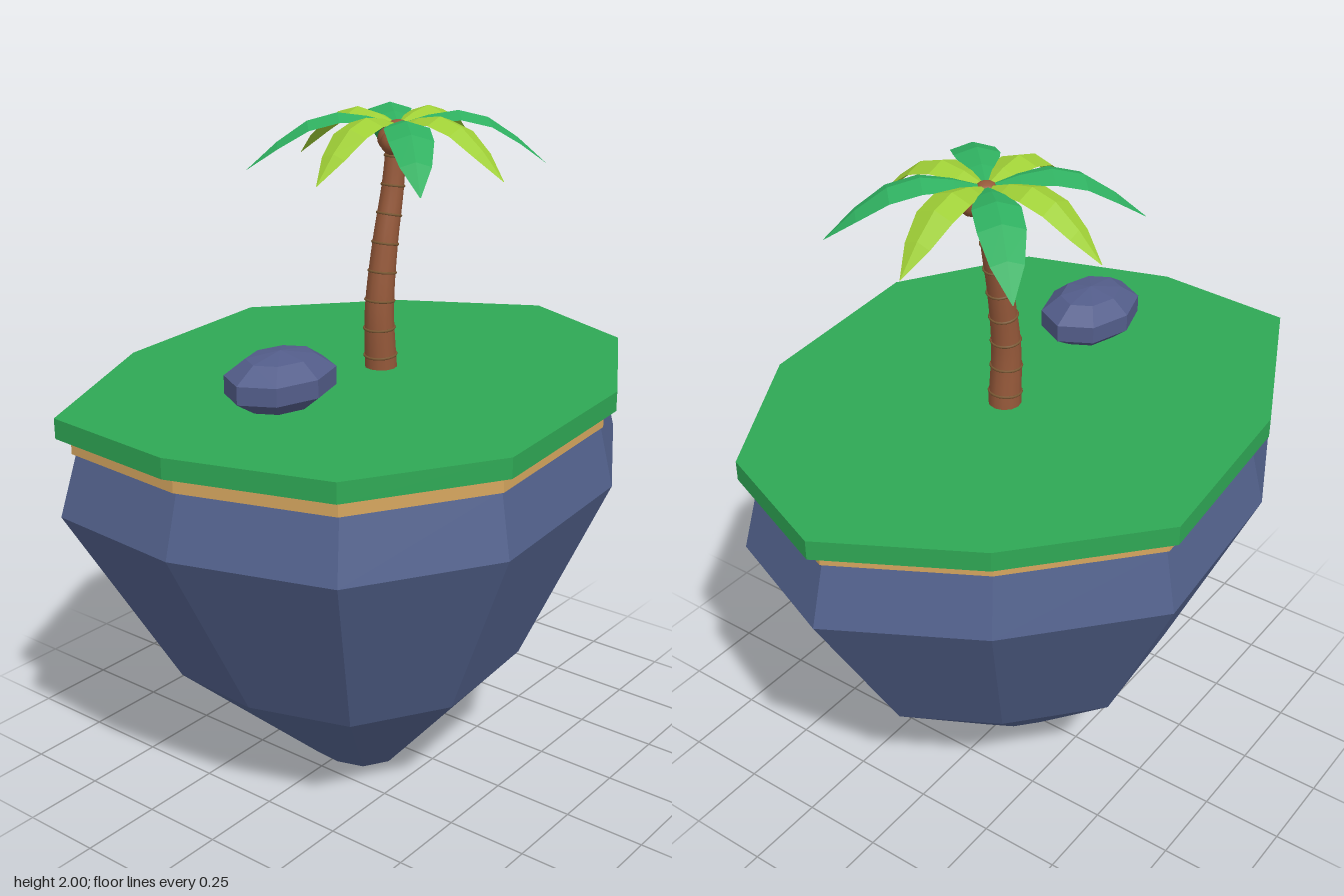
import * as THREE from 'three';

const paint = (name, color, extra = {}) => {
  const m = new THREE.MeshStandardMaterial({ color, ...extra });
  m.name = name;
  return m;
};

// Island outline as [x, z], clockwise from above
const OUTLINE = [
  [-0.87, -0.42], [-0.32, -0.68], [0.28, -0.735], [0.66, -0.4], [0.9, 0.02],
  [0.74, 0.42], [0.28, 0.68], [-0.34, 0.73], [-0.75, 0.48], [-0.9, 0.02],
];

// Flat-faced geometry from a list of triangles
function faceted(tris) {
  const g = new THREE.BufferGeometry();
  g.setAttribute('position', new THREE.Float32BufferAttribute(tris.flat(2), 3));
  g.computeVertexNormals();
  return g;
}

// Closed solid through scaled copies of the outline; level = [y, scale, dx, dz]
function layered(levels) {
  const n = OUTLINE.length;
  const rings = levels.map(([y, s, dx = 0, dz = 0]) =>
    OUTLINE.map(([x, z]) => [x * s + dx, y, z * s + dz]));
  const centre = ([y, , dx = 0, dz = 0]) => [dx, y, dz];
  const top = levels.length - 1;
  const tris = [];
  for (let i = 0; i < n; i++) {
    const j = (i + 1) % n;
    for (let k = 0; k < top; k++) {
      const a = rings[k], b = rings[k + 1];
      tris.push([a[i], b[i], a[j]], [a[j], b[i], b[j]]);
    }
    tris.push([centre(levels[0]), rings[0][i], rings[0][j]]);
    tris.push([centre(levels[top]), rings[top][j], rings[top][i]]);
  }
  return faceted(tris);
}

// Arched leaf along +x with a raised midrib
function leafGeometry(length, width) {
  // [fraction of length, rib height, half-width fraction]
  const sections = [
    [0, 0, 0.12], [0.2, 0.025, 0.7], [0.4, 0.037, 1],
    [0.6, 0.015, 0.98], [0.8, -0.044, 0.68], [1, -0.122, 0.02],
  ].map(([t, y, w]) => {
    const x = t * length, h = w * width / 2, edge = y - 0.02 * w;
    return [[x, edge, -h], [x, y, 0], [x, edge, h]];
  });
  const tris = [];
  for (let i = 0; i < sections.length - 1; i++) {
    const a = sections[i], b = sections[i + 1];
    for (let k = 0; k < 2; k++) {
      tris.push([a[k], a[k + 1], b[k + 1]], [a[k], b[k + 1], b[k]]);
    }
  }
  return faceted(tris);
}

export function createModel() {
  const model = new THREE.Group();
  model.name = 'floatingIsland';
  const stone = paint('stone', 0x53628d, { flatShading: true });
  const boulderStone = paint('boulderStone', 0x535d8a, { flatShading: true });
  const sand = paint('sand', 0xd6a65f, { flatShading: true });
  const grass = paint('grass', 0x2fa855, { flatShading: true });
  const bark = paint('bark', 0x96593a);
  const ringBark = paint('ringBark', 0x7a5732);
  const nut = paint('nut', 0x8f5535);
  const lime = paint('limeLeaf', 0x9fcf36, { flatShading: true, side: THREE.DoubleSide });
  const green = paint('greenLeaf', 0x2fb060, { flatShading: true, side: THREE.DoubleSide });

  const add = (name, geometry, material, parent = model) => {
    const mesh = new THREE.Mesh(geometry, material);
    mesh.name = name;
    parent.add(mesh);
    return mesh;
  };

  // Island layers
  add('rockBase', layered([
    [0, 0.18, -0.037, 0.018], [0.38, 0.65, -0.015, 0.008], [0.955, 1], [1.14, 0.942],
  ]), stone);
  add('sandLayer', layered([[1.14, 0.953, -0.006, 0.003], [1.19, 0.953, -0.006, 0.003]]), sand);
  add('grassLayer', layered([[1.19, 1], [1.25, 1]]), grass);

  // Boulder
  const boulder = add('boulder', new THREE.SphereGeometry(1, 8, 5), boulderStone);
  boulder.scale.set(0.189, 0.085, 0.142);
  boulder.position.set(-0.425, 1.335, 0.017);

  // Curved tapering trunk
  const palm = new THREE.Group();
  palm.name = 'palm';
  model.add(palm);
  const path = new THREE.CatmullRomCurve3([
    [0.05, 1.245], [0.042, 1.43], [0.068, 1.62], [0.105, 1.79], [0.125, 1.96],
  ].map(([x, y]) => new THREE.Vector3(x, y, 0)));
  const radiusAt = (u) => 0.049 - 0.021 * u;
  const steps = 24, sides = 12;
  const trunk = new THREE.TubeGeometry(path, steps, 1, sides);
  const pos = trunk.attributes.position, v = new THREE.Vector3();
  for (let i = 0; i < pos.count; i++) {
    const u = Math.floor(i / (sides + 1)) / steps;
    const c = path.getPointAt(u);
    v.fromBufferAttribute(pos, i).sub(c).multiplyScalar(radiusAt(u)).add(c);
    pos.setXYZ(i, v.x, v.y, v.z);
  }
  add('trunk', trunk, bark, palm);

  // Thin rings around the trunk
  for (let i = 0; i < 8; i++) {
    const u = 0.06 + i * 0.117;
    const ring = add('trunkRing', new THREE.TorusGeometry(radiusAt(u), 0.004, 6, 20), ringBark, palm);
    ring.position.copy(path.getPointAt(u));
    ring.quaternion.setFromUnitVectors(new THREE.Vector3(0, 0, 1), path.getTangentAt(u));
  }

  // Crown: bud, three nuts and eight leaves
  const crown = new THREE.Group();
  crown.name = 'crown';
  crown.position.set(0.128, 1.962, 0);
  palm.add(crown);
  add('bud', new THREE.SphereGeometry(0.027, 12, 8), bark, crown).scale.y = 0.5;
  for (let i = 0; i < 3; i++) {
    const a = Math.PI / 4 + i * Math.PI * 2 / 3;
    add('nut', new THREE.SphereGeometry(0.036, 14, 10), nut, crown)
      .position.set(0.04 * Math.cos(a), -0.047, 0.04 * Math.sin(a));
  }
  const limeLeaf = leafGeometry(0.37, 0.12), greenLeaf = leafGeometry(0.44, 0.13);
  for (let i = 0; i < 8; i++) {
    const leaf = i % 2
      ? add('greenLeaf', greenLeaf, green, crown)
      : add('limeLeaf', limeLeaf, lime, crown);
    leaf.rotation.y = i * Math.PI / 4;
  }
  return model;
}
